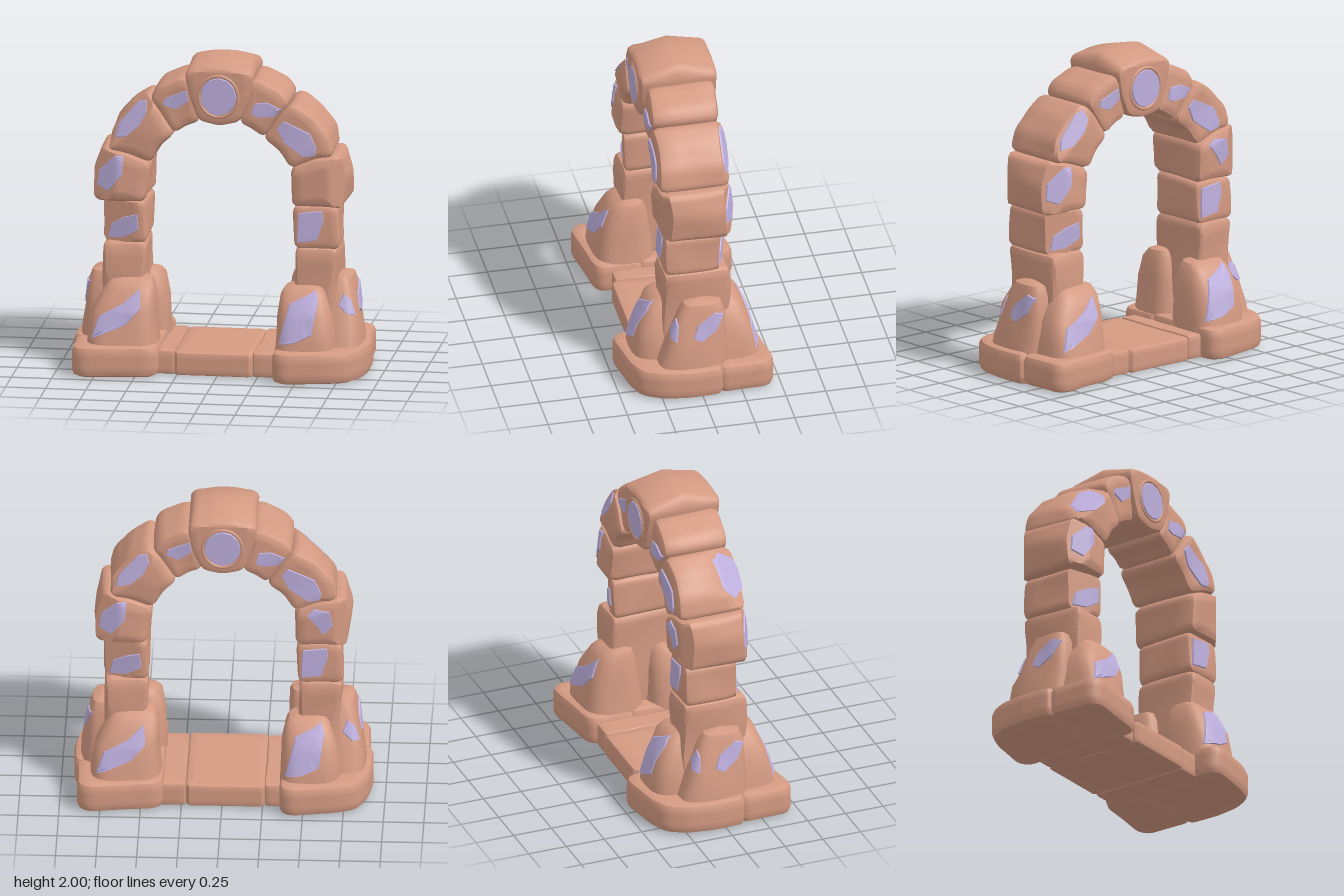
import * as THREE from 'three';
import { toCreasedNormals } from 'three/addons/utils/BufferGeometryUtils.js';

const clay = new THREE.MeshStandardMaterial({ color: 0xd49a82 });
clay.name = 'clay';
const lavender = new THREE.MeshStandardMaterial({ color: 0xbdafdd, side: THREE.DoubleSide });
lavender.name = 'lavender';

const vec = (...p) => new THREE.Vector3(...p);
const FRONT = vec(0, 0, 1), BACK = vec(0, 0, -1), OUTER = vec(-1, 0, 0);

// Polygon with softened corners, evenly resampled counter-clockwise
function roundedOutline(pts, r) {
  const P = pts.map(p => new THREE.Vector2(...p));
  const shape = new THREE.Shape();
  P.forEach((p, i) => {
    const a = P[(i + P.length - 1) % P.length], b = P[(i + 1) % P.length];
    const toward = q => p.clone().lerp(q, Math.min(0.4, r / p.distanceTo(q)));
    const s = toward(a), e = toward(b);
    if (i === 0) shape.moveTo(s.x, s.y); else shape.lineTo(s.x, s.y);
    shape.quadraticCurveTo(p.x, p.y, e.x, e.y);
  });
  shape.closePath();
  const out = shape.getSpacedPoints(72).slice(0, -1);
  return THREE.ShapeUtils.isClockWise(out) ? out.reverse() : out;
}

// Skin over equal rings of points
function skin(rings) {
  const n = rings[0].length, idx = [];
  for (let s = 0; s < rings.length - 1; s++) {
    for (let i = 0; i < n; i++) {
      const a = s * n + i, b = s * n + (i + 1) % n;
      idx.push(a, b, a + n, b, b + n, a + n);
    }
  }
  const geo = new THREE.BufferGeometry();
  geo.setAttribute('position', new THREE.Float32BufferAttribute(rings.flat(2), 3));
  geo.setIndex(idx);
  return geo;
}

// Pillow-edged solid: outline in x,y, centred on z
function pillow(pts, depth, bevel, corner) {
  const outline = roundedOutline(pts, corner), h = depth / 2, b = bevel;
  const c = outline.reduce((s, p) => s.add(p), new THREE.Vector2()).divideScalar(outline.length);
  const half = [[1, 0, 0], [1, 0, (h - b) / 2], [1, 0, h - b], [1, 0.3 * b, h - 0.3 * b], [1, b, h],
    [0.8, b, h], [0.6, b, h], [0.4, b, h], [0.2, b, h], [0.001, b, h]];
  const layers = [...half.slice(1).reverse().map(([s, i, z]) => [s, i, -z]), ...half];
  return skin(layers.map(([s, inset, z]) => outline.map(p => {
    const k = s * (1 - inset / p.distanceTo(c));
    return [c.x + (p.x - c.x) * k, c.y + (p.y - c.y) * k, z];
  })));
}

// Apply a rule to every vertex
function reshape(geo, rule) {
  const pos = geo.attributes.position, v = vec();
  for (let i = 0; i < pos.count; i++) {
    rule(v.fromBufferAttribute(pos, i));
    pos.setXYZ(i, v.x, v.y, v.z);
  }
  return geo;
}

// Gentle hand-carved unevenness
const weather = amount => v => {
  const { x, y, z } = v;
  v.x += amount * Math.sin(11 * y + 9 * z + 4 * x);
  v.y += amount * 0.6 * Math.sin(10 * x - 8 * z);
  v.z += amount * Math.sin(9 * x + 12 * y);
};

// Flat facet where a corner has been cut away
const facet = (normal, point) => v => {
  const n = normal.clone().normalize(), over = n.dot(v) - n.dot(point);
  if (over > 0) v.addScaledVector(n, -over);
};

function stoneMesh(name, geo) {
  const mesh = new THREE.Mesh(toCreasedNormals(geo, 0.6), clay);
  mesh.name = name;
  return mesh;
}

// Arch stone with optional cut facets
function block(name, pts, halfDepth, bevel, facets = []) {
  const geo = reshape(pillow(pts, halfDepth * 2, bevel, 0.045), weather(0.006));
  facets.forEach(f => reshape(geo, facet(...f)));
  return stoneMesh(name, geo);
}

// Flat slab: outline in x,z, between two heights
function slab(name, pts, y0, y1, bevel, corner) {
  const geo = pillow(pts.map(([x, z]) => [x, -z]), y1 - y0, bevel, corner);
  geo.rotateX(-Math.PI / 2).translate(0, (y0 + y1) / 2, 0);
  return stoneMesh(name, geo);
}

// Boulder lofted through squarish sections [y, cx, cz, rx, rz]
function boulder(name, sections) {
  const soft = v => Math.sign(v) * Math.abs(v) ** 0.6;
  const [y, x, z] = sections.at(-1);
  const rings = [...sections, [y + 0.008, x, z, 0.001, 0.001]].map(([y, cx, cz, rx, rz]) =>
    Array.from({ length: 32 }, (_, i) => {
      const a = i / 16 * Math.PI;
      return [cx + rx * soft(Math.cos(a)), y, cz - rz * soft(Math.sin(a))];
    }));
  return stoneMesh(name, reshape(skin(rings), weather(0.008)));
}

// Thin inlay draped over a stone, seen along dir
function inlay(stone, dir, outline, centre = vec()) {
  const d = dir.clone().normalize();
  const right = vec(0, 1, 0).cross(d).normalize();
  const up = d.clone().cross(right);
  const rim = outline.flatMap((p, i) => {
    const q = outline[(i + 1) % outline.length];
    return [0, 0.25, 0.5, 0.75].map(t => [p[0] + (q[0] - p[0]) * t, p[1] + (q[1] - p[1]) * t]);
  });
  const mu = rim.reduce((s, p) => s + p[0], 0) / rim.length, mv = rim.reduce((s, p) => s + p[1], 0) / rim.length;
  const ray = new THREE.Raycaster();
  const drape = (du, dv, lift) => {
    for (let k = 1; k > 0.05; k *= 0.96) {
      const o = centre.clone().addScaledVector(right, mu + du * k).addScaledVector(up, mv + dv * k).addScaledVector(d, 3);
      ray.set(o, d.clone().negate());
      const hit = ray.intersectObject(stone)[0];
      if (hit) return hit.point.addScaledVector(d, lift).toArray();
    }
    return centre.toArray();
  };
  const rings = [[1, -0.004], [0.95, 0.009], [0.75, 0.009], [0.5, 0.009], [0.25, 0.009], [0.001, 0.009]];
  const geo = skin(rings.map(([s, lift]) => rim.map(([u, v]) => drape((u - mu) * s, (v - mv) * s, lift))));
  const mesh = new THREE.Mesh(toCreasedNormals(geo, 0.5), lavender);
  mesh.name = 'inlay';
  return mesh;
}

// One side of the arch; the other is the same turned by half
function createSide(name, haunchCut, extraInlay) {
  const g = new THREE.Group();
  g.name = name;
  // Footing
  g.add(slab('footingBack', [[-0.355, -0.43], [-0.42, -0.475], [-0.7, -0.43], [-0.83, -0.38], [-0.9, -0.25], [-0.925, -0.08], [-0.915, 0.13], [-0.36, 0.13]], 0, 0.2, 0.04, 0.05));
  g.add(slab('footingFront', [[-0.36, 0.09], [-0.9, 0.11], [-0.89, 0.42], [-0.82, 0.465], [-0.42, 0.41], [-0.36, 0.37]], 0, 0.195, 0.04, 0.05));
  // Boulders around the foot
  const front = boulder('frontBoulder', [[0.12, -0.6, 0.2, 0.225, 0.2], [0.25, -0.6, 0.2, 0.215, 0.185], [0.4, -0.585, 0.19, 0.195, 0.16], [0.53, -0.55, 0.17, 0.155, 0.12], [0.58, -0.54, 0.16, 0.125, 0.085], [0.6, -0.54, 0.15, 0.07, 0.04]]);
  const back = boulder('backBoulder', [[0.12, -0.54, -0.2, 0.195, 0.2], [0.25, -0.54, -0.2, 0.185, 0.185], [0.4, -0.535, -0.19, 0.165, 0.16], [0.53, -0.53, -0.17, 0.14, 0.12], [0.565, -0.53, -0.16, 0.12, 0.085], [0.58, -0.53, -0.15, 0.07, 0.04]]);
  const outer = boulder('outerBoulder', [[0.12, -0.75, -0.06, 0.13, 0.22], [0.25, -0.75, -0.04, 0.122, 0.205], [0.4, -0.745, 0, 0.11, 0.175], [0.55, -0.735, 0.02, 0.09, 0.145], [0.61, -0.73, 0.02, 0.07, 0.115], [0.625, -0.73, 0.02, 0.03, 0.06]]);
  // Column and arch stones
  const lower = block('lowerColumn', [[-0.465, 0.15], [-0.465, 0.81], [-0.73, 0.81], [-0.715, 0.15]], 0.21, 0.04);
  const upper = block('upperColumn', [[-0.46, 0.8], [-0.46, 1.07], [-0.735, 1.07], [-0.74, 0.8]], 0.2, 0.03,
    [[vec(-0.31, 0, 0.95), vec(-0.6, 0.9, 0.175)]]);
  const spring = block('springStone', [[-0.455, 1.065], [-0.435, 1.315], [-0.58, 1.38], [-0.745, 1.4], [-0.79, 1.25], [-0.775, 1.065]], 0.235, 0.06,
    [[vec(-0.45, 0.1, 0.9), vec(-0.69, 1.25, 0.205)], [vec(-0.6, 0, -0.8), vec(-0.74, 1.25, -0.19)]]);
  const haunch = block('haunchStone', [[-0.435, 1.31], [-0.37, 1.42], [-0.275, 1.5], [-0.38, 1.66], [-0.455, 1.725], [-0.58, 1.65], [-0.68, 1.53], [-0.705, 1.39], [-0.6, 1.375]], 0.225, 0.045, [haunchCut]);
  const shoulder = block('shoulderStone', [[-0.28, 1.5], [-0.2, 1.555], [-0.125, 1.585], [-0.17, 1.85], [-0.24, 1.865], [-0.39, 1.795], [-0.435, 1.72]], 0.213, 0.045);
  g.add(front, back, outer, lower, upper, spring, haunch, shoulder);
  // Front inlays
  g.add(inlay(front, FRONT, [[-0.78, 0.225], [-0.73, 0.37], [-0.58, 0.45], [-0.48, 0.54], [-0.47, 0.42], [-0.56, 0.32]]));
  g.add(inlay(upper, FRONT, [[-0.7, 0.82], [-0.68, 0.91], [-0.6, 0.96], [-0.51, 0.99], [-0.5, 0.89], [-0.6, 0.83]]));
  g.add(inlay(spring, FRONT, [[-0.765, 1.16], [-0.75, 1.26], [-0.65, 1.355], [-0.59, 1.36], [-0.6, 1.24], [-0.69, 1.13]]));
  g.add(inlay(haunch, FRONT, [[-0.66, 1.46], [-0.645, 1.53], [-0.52, 1.675], [-0.465, 1.695], [-0.45, 1.64], [-0.49, 1.56], [-0.58, 1.48]]));
  g.add(inlay(shoulder, FRONT, [[-0.35, 1.69], [-0.34, 1.73], [-0.2, 1.79], [-0.19, 1.72], [-0.27, 1.66]]));
  // Back inlays
  g.add(inlay(back, BACK, [[0.385, 0.225], [0.45, 0.48], [0.61, 0.56], [0.63, 0.5], [0.6, 0.3], [0.5, 0.25]]));
  g.add(inlay(upper, BACK, [[0.48, 0.84], [0.49, 1.03], [0.64, 1.05], [0.65, 0.99], [0.61, 0.86]]));
  g.add(inlay(haunch, BACK, [[0.36, 1.57], [0.4, 1.62], [0.57, 1.54], [0.61, 1.45], [0.6, 1.4], [0.53, 1.39], [0.4, 1.48]]));
  g.add(inlay(shoulder, BACK, [[0.2, 1.65], [0.22, 1.72], [0.3, 1.73], [0.39, 1.69], [0.35, 1.64], [0.24, 1.63]]));
  g.add(inlay(outer, vec(-0.6, 0.2, -1), [[-0.05, 0], [-0.01, 0.07], [0.03, 0.03], [0.05, -0.07], [-0.01, -0.06]], vec(-0.79, 0.45, -0.16)));
  if (extraInlay) g.add(inlay(spring, BACK, [[0.52, 1.3], [0.56, 1.34], [0.66, 1.33], [0.68, 1.22], [0.62, 1.16], [0.58, 1.23]]));
  // Outer inlay
  g.add(inlay(outer, OUTER, [[-0.05, 0.4], [-0.02, 0.48], [0.09, 0.56], [0.15, 0.54], [0.1, 0.44], [0, 0.37]]));
  return g;
}

export function createModel() {
  const model = new THREE.Group();
  model.name = 'stoneArch';
  const right = createSide('rightSide', [vec(-0.62, 0.6, 0.48), vec(-0.56, 1.59, 0.12)], true);
  const left = createSide('leftSide', [vec(-0.35, 0.3, 0.9), vec(-0.57, 1.59, 0.19)], false);
  left.rotation.y = Math.PI;
  model.add(right, left);

  // Keystone with a ridged top
  const geo = pillow([[-0.13, 1.6], [0, 1.57], [0.13, 1.6], [0.19, 1.74], [0.215, 1.89], [0.185, 1.975], [0.05, 2], [-0.06, 2], [-0.185, 1.975], [-0.215, 1.89], [-0.18, 1.74]], 0.48, 0.03, 0.04);
  const key = stoneMesh('keystone', reshape(geo, v => {
    v.y -= THREE.MathUtils.clamp((v.y - 1.88) / 0.1, 0, 1) * 0.25 * Math.abs(v.z);
  }));
  model.add(key);
  const disc = Array.from({ length: 12 }, (_, i) => {
    const a = i / 6 * Math.PI;
    return [0.115 * Math.cos(a), 1.76 + 0.122 * Math.sin(a)];
  });
  for (const dir of [FRONT, BACK]) {
    model.add(inlay(key, dir, disc));
    const ring = new THREE.Mesh(new THREE.TorusGeometry(0.122, 0.011, 8, 32), clay);
    ring.name = 'keystoneRing';
    ring.scale.y = 1.06;
    ring.position.set(0, 1.76, dir.z * 0.238);
    model.add(ring);
  }

  // Threshold slabs
  for (const [x0, x1, z0, z1, y1] of [[-0.4, -0.265, -0.345, 0.3, 0.155], [-0.263, 0.22, -0.355, 0.325, 0.15], [0.223, 0.4, -0.35, 0.31, 0.155]]) {
    model.add(slab('thresholdSlab', [[x0, z0], [x1, z0], [x1, z1], [x0, z1]], 0.005, y1, 0.015, 0.02));
  }
  return model;
}
